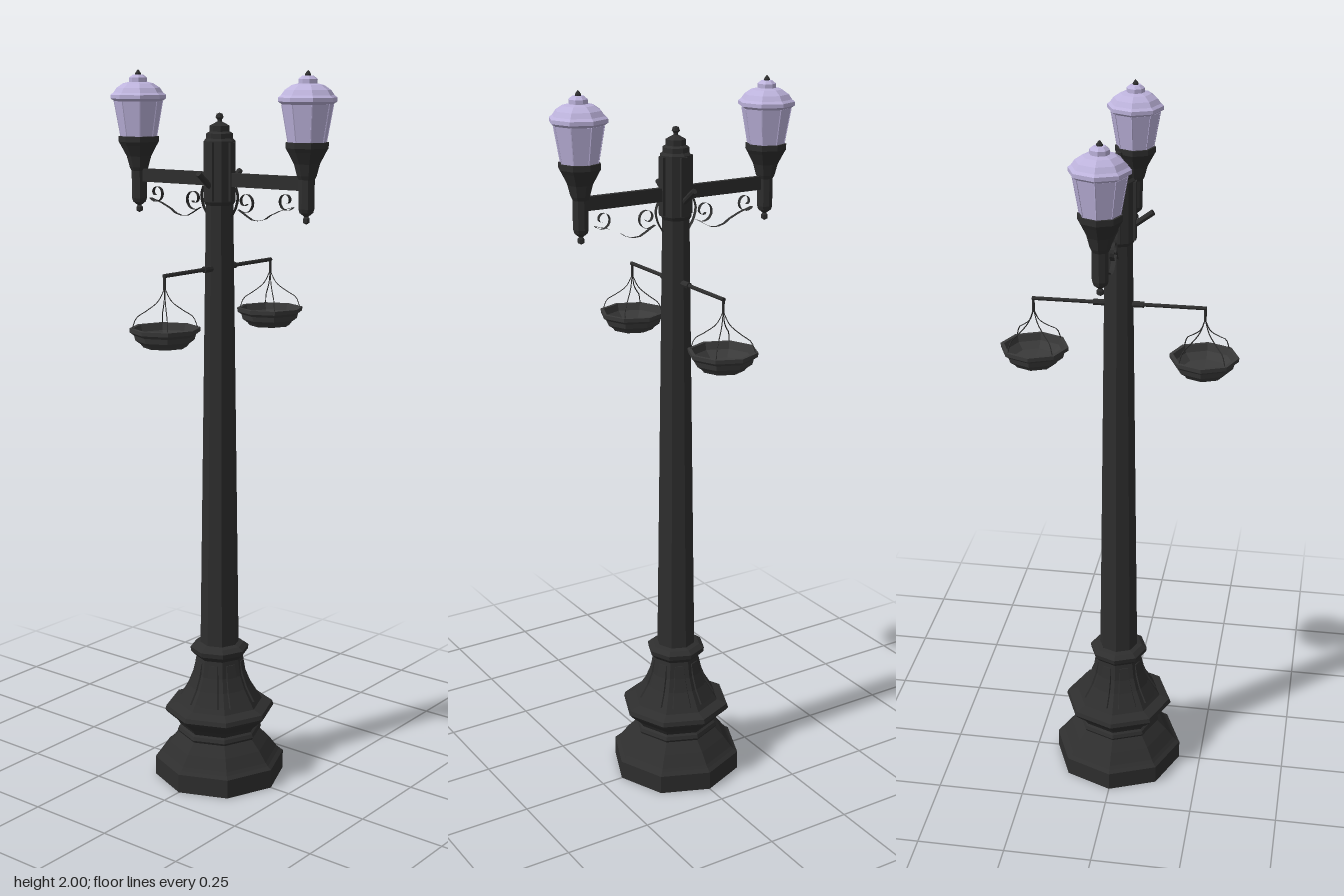
import * as THREE from 'three';

const mat = (color) => new THREE.MeshStandardMaterial({ color, flatShading: true, side: THREE.DoubleSide });
const iron = mat(0x2e2e2e);
const basketIron = mat(0x3a3a3a);
const glass = mat(0xbdb3dc);

function add(parent, name, geometry, material, x = 0, y = 0, z = 0) {
  const mesh = new THREE.Mesh(geometry, material);
  mesh.name = name;
  mesh.position.set(x, y, z);
  parent.add(mesh);
  return mesh;
}

// Octagonal turned part from [radius, height] pairs, corners on the axes
function octagon(profile) {
  return new THREE.LatheGeometry(profile.map(([r, y]) => new THREE.Vector2(r, y)), 8);
}

// Round rod between two points
function rod(parent, name, a, b, radius, sides = 6) {
  const from = new THREE.Vector3(...a), to = new THREE.Vector3(...b);
  const mesh = add(parent, name, new THREE.CylinderGeometry(radius, radius, from.distanceTo(to), sides), iron);
  mesh.position.copy(from).add(to).multiplyScalar(0.5);
  mesh.quaternion.setFromUnitVectors(new THREE.Vector3(0, 1, 0), to.sub(from).normalize());
  return mesh;
}

// Flat strip of iron following [z, y] points, spread across x
function ribbon(points, width) {
  const curve = new THREE.CatmullRomCurve3(points.map(([z, y]) => new THREE.Vector3(0, y, z)));
  const n = 48, pos = [], index = [];
  for (let i = 0; i <= n; i++) {
    const p = curve.getPoint(i / n);
    pos.push(-width / 2, p.y, p.z, width / 2, p.y, p.z);
    if (i < n) {
      const k = i * 2;
      index.push(k, k + 1, k + 2, k + 1, k + 3, k + 2);
    }
  }
  const g = new THREE.BufferGeometry();
  g.setAttribute('position', new THREE.Float32BufferAttribute(pos, 3));
  g.setIndex(index);
  g.computeVertexNormals();
  return g;
}

// Points of a spiral that winds from radius r0 to r1 around (cz, cy)
function spiral(cz, cy, r0, r1, a0, a1) {
  return Array.from({ length: 13 }, (_, i) => {
    const t = i / 12, a = a0 + (a1 - a0) * t, r = r0 + (r1 - r0) * t;
    return [cz + r * Math.cos(a), cy + r * Math.sin(a)];
  });
}

function makeLamp() {
  const lamp = new THREE.Group();
  lamp.name = 'lamp';
  add(lamp, 'lampHolder', octagon([[0, 1.61], [0.009, 1.615], [0.009, 1.625], [0.005, 1.63], [0.018, 1.64],
    [0.021, 1.65], [0.021, 1.725], [0.026, 1.735], [0.034, 1.765], [0.05, 1.795], [0.056, 1.805],
    [0.056, 1.82], [0, 1.82]]), iron);
  add(lamp, 'lampGlass', octagon([[0.05, 1.82], [0.067, 1.915]]), glass);
  add(lamp, 'lampRoof', octagon([[0.066, 1.915], [0.077, 1.922], [0.077, 1.932], [0.069, 1.938], [0.06, 1.951],
    [0.042, 1.963], [0.025, 1.967], [0.025, 1.978], [0.015, 1.986], [0, 1.987]]), glass);
  add(lamp, 'lampFinial', octagon([[0.008, 1.984], [0.008, 1.99], [0.004, 1.996], [0, 2]]), iron);
  // Slim bars at the corners of the glass
  for (let i = 0; i < 8; i++) {
    const a = i * Math.PI / 4, s = Math.sin(a), c = Math.cos(a);
    const bar = rod(lamp, 'glassBar', [0.05 * s, 1.82, 0.05 * c], [0.067 * s, 1.915, 0.067 * c], 0.0018, 4);
    bar.material = glass;
  }
  return lamp;
}

function makeBasket() {
  const basket = new THREE.Group();
  basket.name = 'hangingBasket';
  add(basket, 'basketBowl', octagon([[0, 1.29], [0.058, 1.29], [0.064, 1.298], [0.078, 1.308], [0.082, 1.322],
    [0.093, 1.33], [0.094, 1.341], [0.084, 1.341], [0.079, 1.322], [0.06, 1.305], [0, 1.303]]), basketIron);
  rod(basket, 'hook', [0, 1.475, 0], [0, 1.44, 0], 0.004);
  // Sagging chains from the hook to the rim
  for (let i = 0; i < 4; i++) {
    const a = Math.PI / 4 + i * Math.PI / 2, s = Math.sin(a), c = Math.cos(a);
    const path = new THREE.CatmullRomCurve3([[0, 1.445], [0.018, 1.41], [0.05, 1.385], [0.075, 1.368], [0.086, 1.34]]
      .map(([r, y]) => new THREE.Vector3(r * s, y, r * c)));
    add(basket, 'chain', new THREE.TubeGeometry(path, 12, 0.0015, 4), iron);
  }
  return basket;
}

// Raised tapering panel lying on one face of the flared base
function makePanel() {
  const rows = [[0.111, 0.236, 0.03], [0.088, 0.275, 0.023], [0.074, 0.312, 0.018], [0.066, 0.348, 0.015]];
  const pos = [], index = [];
  for (const [d, y, w] of rows) {
    pos.push(-w, y, d - 0.014, -w * 0.85, y, d, w * 0.85, y, d, w, y, d - 0.014);
  }
  for (let r = 0; r < rows.length - 1; r++) {
    for (let k = 0; k < 3; k++) {
      const a = r * 4 + k;
      index.push(a, a + 1, a + 4, a + 1, a + 5, a + 4);
    }
  }
  const t = (rows.length - 1) * 4;
  index.push(0, 2, 1, 0, 3, 2, t, t + 1, t + 2, t, t + 2, t + 3);
  const g = new THREE.BufferGeometry();
  g.setAttribute('position', new THREE.Float32BufferAttribute(pos, 3));
  g.setIndex(index);
  g.computeVertexNormals();
  return g;
}

export function createModel() {
  const model = new THREE.Group();
  model.name = 'streetLamp';

  // Hollow stepped base with a flared upper part
  add(model, 'base', octagon([[0.187, 0], [0.187, 0.054], [0.176, 0.062], [0.168, 0.07], [0.145, 0.1], [0.118, 0.128],
    [0.122, 0.135], [0.118, 0.145], [0.112, 0.15], [0.122, 0.165], [0.15, 0.19], [0.158, 0.2], [0.154, 0.212],
    [0.124, 0.222], [0.112, 0.24], [0.09, 0.275], [0.075, 0.312], [0.067, 0.36], [0.082, 0.375],
    [0.084, 0.388], [0.07, 0.398], [0.056, 0.402]]), iron);
  const panel = makePanel();
  for (let i = 0; i < 8; i++) {
    add(model, 'basePanel', panel, iron).rotation.y = Math.PI / 8 + i * Math.PI / 4;
  }

  // Tapering post, collar and top finial
  add(model, 'post', octagon([[0.055, 0.4], [0.037, 1.66]]), iron);
  add(model, 'collar', octagon([[0.037, 1.645], [0.043, 1.655], [0.043, 1.815], [0.036, 1.822], [0.036, 1.835],
    [0.027, 1.84], [0.027, 1.855], [0.014, 1.862], [0.006, 1.866], [0.006, 1.871], [0.011, 1.877],
    [0.008, 1.886], [0, 1.889]]), iron);
  for (let i = 0; i < 4; i++) {
    const a = i * Math.PI / 2;
    add(model, 'collarRib', new THREE.BoxGeometry(0.022, 0.155, 0.012), iron,
      0.04 * Math.sin(a), 1.735, 0.04 * Math.cos(a)).rotation.y = a;
  }

  // Cross arms
  add(model, 'lampArm', new THREE.BoxGeometry(0.014, 0.036, 0.56), iron, 0, 1.714, 0);
  rod(model, 'basketBar', [-0.234, 1.477, 0], [0.234, 1.477, 0], 0.0055, 8);
  rod(model, 'basketBarSleeve', [-0.068, 1.477, 0], [0.068, 1.477, 0], 0.009, 8);

  // Scrollwork under one lamp arm
  const scroll = ribbon([
    ...spiral(0.088, 1.658, 0.008, 0.032, 5.5, -2.4),
    [0.085, 1.625], [0.115, 1.61], [0.15, 1.614], [0.18, 1.632],
    ...spiral(0.222, 1.668, 0.028, 0.008, 3.8 + Math.PI * 0.6, -1.2),
  ], 0.012);
  const tail = ribbon([[0.04, 1.615], [0.055, 1.64], [0.062, 1.67], [0.055, 1.695]], 0.012);

  for (const side of [1, -1]) {
    const lampSide = new THREE.Group();
    lampSide.name = 'lampSide';
    lampSide.rotation.y = side > 0 ? 0 : Math.PI;
    const lamp = makeLamp();
    lamp.position.z = 0.286;
    lampSide.add(lamp);
    add(lampSide, 'scroll', scroll, iron);
    add(lampSide, 'scrollTail', tail, iron);
    model.add(lampSide);

    const basket = makeBasket();
    basket.position.x = side * 0.231;
    model.add(basket);
    // Slanted flag holder
    rod(model, 'flagHolder', [side * 0.025, 1.685, 0], [side * 0.09, 1.733, 0], 0.008, 8);
  }
  return model;
}
